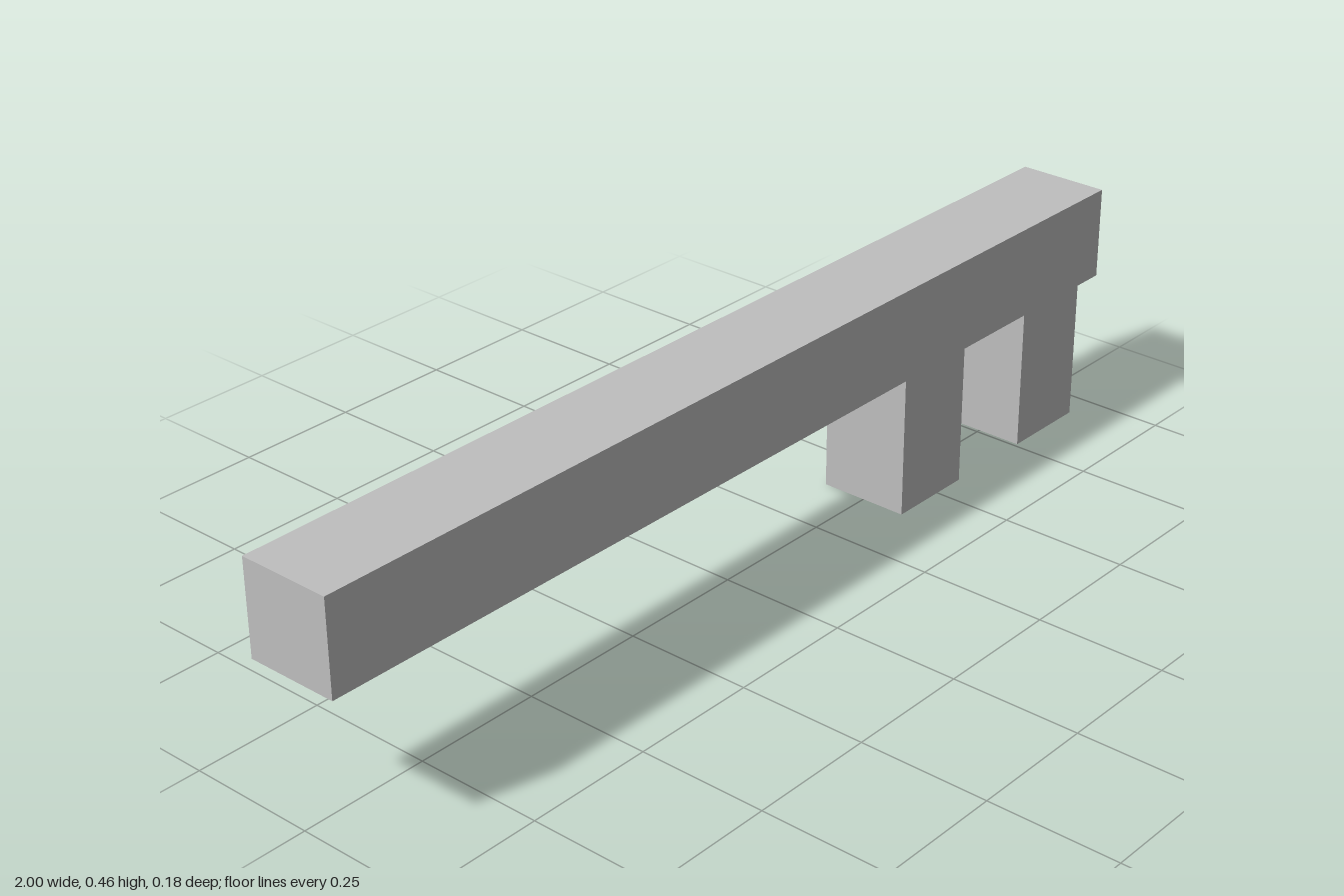
import * as THREE from 'three';

export function createModel() {
  const model = new THREE.Group();
  const grey = new THREE.MeshStandardMaterial({ color: 0xbfbfbf });
  grey.name = 'light grey';

  const top = 0.456, under = 0.276, depth = 0.18;
  const teeth = [[0.39, 0.568], [0.758, 0.936]]; // left and right edge of each tooth

  // Side profile: a long bar with two square teeth hanging near one end
  const profile = new THREE.Shape();
  profile.moveTo(-1, top);
  profile.lineTo(-1, under);
  for (const [a, b] of teeth) {
    profile.lineTo(a, under);
    profile.lineTo(a, 0);
    profile.lineTo(b, 0);
    profile.lineTo(b, under);
  }
  profile.lineTo(1, under);
  profile.lineTo(1, top);
  profile.closePath();

  const geometry = new THREE.ExtrudeGeometry(profile, { depth, bevelEnabled: false });
  geometry.translate(0, 0, -depth / 2);

  const bar = new THREE.Mesh(geometry, grey);
  bar.name = 'toothedBar';
  model.add(bar);
  return model;
}
